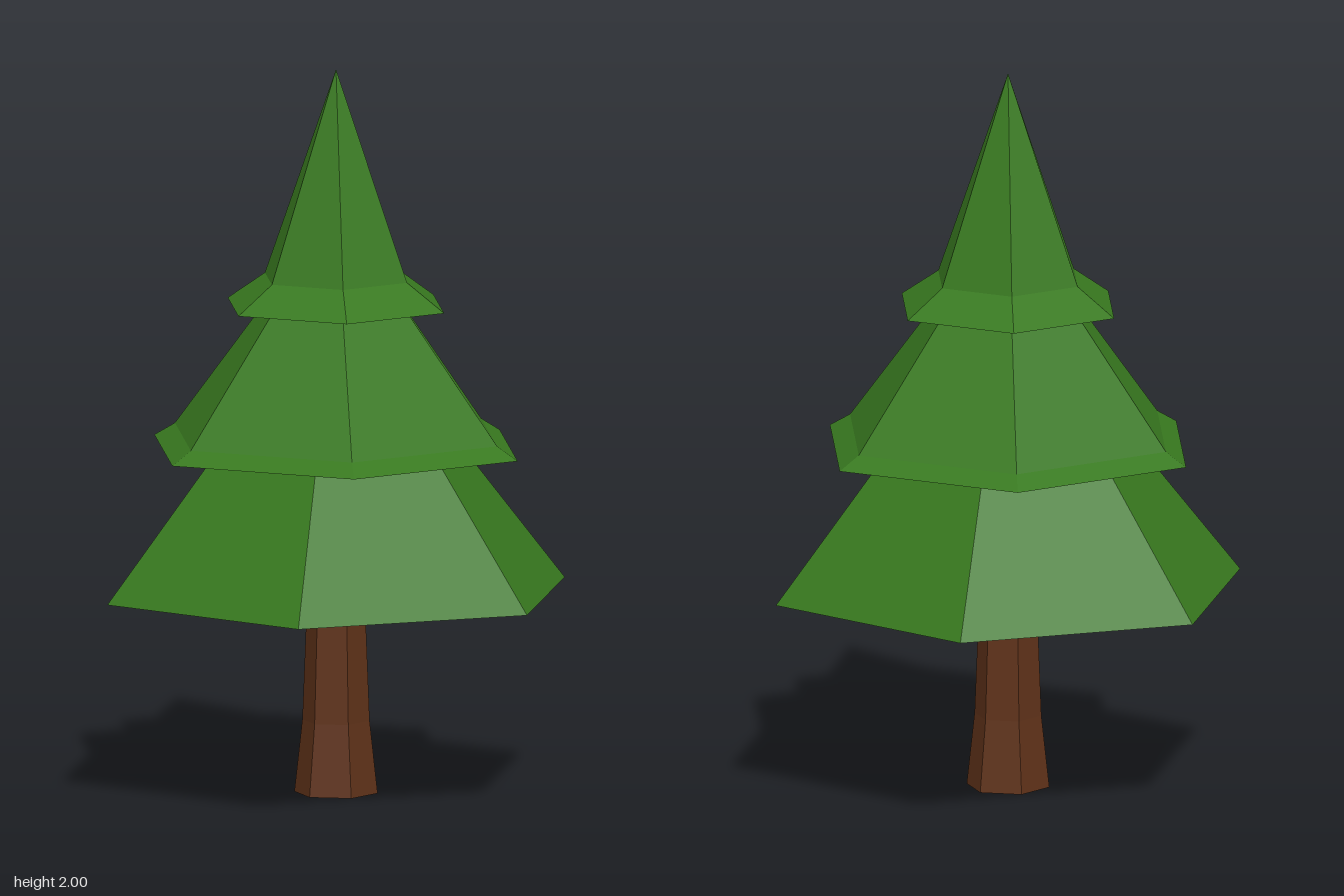
import * as THREE from 'three';

const SIDES = 6;

// Six-sided faceted shell from a [radius, height] profile, listed bottom to top
function facetedShell(name, profile, color, turnDegrees = 0) {
  const points = profile.map(([r, y]) => new THREE.Vector2(r, y));
  const material = new THREE.MeshStandardMaterial({ color, flatShading: true, side: THREE.DoubleSide });
  const mesh = new THREE.Mesh(new THREE.LatheGeometry(points, SIDES), material);
  mesh.name = name;
  mesh.rotation.y = THREE.MathUtils.degToRad(turnDegrees);
  return mesh;
}

export function createModel() {
  const tree = new THREE.Group();
  tree.name = 'pineTree';
  const bark = 0x5f3219;
  const needles = 0x38791f;

  // Trunk: flared foot with a closed base, running up inside the foliage
  tree.add(facetedShell('trunk', [[0, 0], [0.115, 0], [0.093, 0.2], [0.079, 0.56], [0.065, 1.0], [0, 1.0]], bark));

  // Foliage: hollow cones, the upper two twisted and with a flared skirt
  tree.add(facetedShell('lowerFoliage', [[0.67, 0.557], [0, 1.4]], needles, 30));
  tree.add(facetedShell('middleFoliage', [[0.547, 0.953], [0.485, 0.99], [0, 1.62]], needles, 44));
  tree.add(facetedShell('topFoliage', [[0.326, 1.347], [0.214, 1.424], [0, 2]], needles, 44));

  return tree;
}
